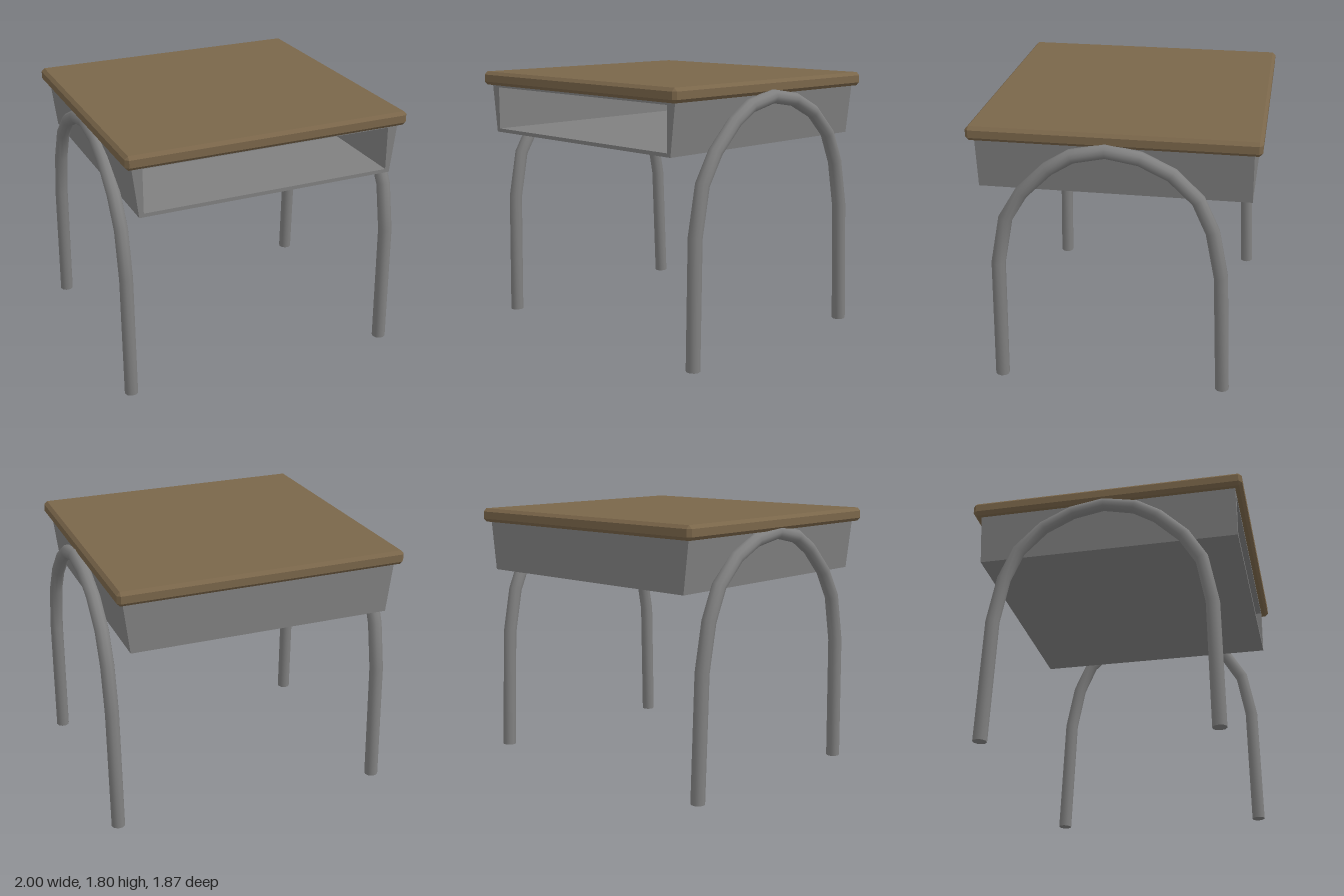
import * as THREE from 'three';
import { ConvexGeometry } from 'three/addons/geometries/ConvexGeometry.js';

const wood = new THREE.MeshStandardMaterial({ color: 0x7a664a });
wood.name = 'wood';
const steel = new THREE.MeshStandardMaterial({ color: 0x808080 });
steel.name = 'steel';

function part(name, geometry, material) {
  const mesh = new THREE.Mesh(geometry, material);
  mesh.name = name;
  return mesh;
}

// Box with every edge and corner cut by a flat chamfer
function chamferedBox(w, h, d, c) {
  const points = [];
  for (const sx of [-1, 1]) for (const sy of [-1, 1]) for (const sz of [-1, 1]) {
    for (let axis = 0; axis < 3; axis++) {
      const half = [w / 2 - c, h / 2 - c, d / 2 - c];
      half[axis] += c;
      points.push(new THREE.Vector3(sx * half[0], sy * half[1], sz * half[2]));
    }
  }
  return new ConvexGeometry(points);
}

// Round bar swept along a [z, y] path with mitred bends and closed ends
function bentBar(path, radius, sides) {
  const pts = path.map(([z, y]) => new THREE.Vector2(z, y));
  const position = [], index = [];
  const last = pts.length - 1;
  const ring = (i) => {
    const a = pts[i].clone().sub(pts[Math.max(i - 1, 0)]).normalize();
    const b = pts[Math.min(i + 1, last)].clone().sub(pts[i]).normalize();
    const t = a.add(b).normalize();
    for (let k = 0; k < sides; k++) {
      const angle = (k / sides) * Math.PI * 2;
      const s = Math.sin(angle) * radius;
      position.push(Math.cos(angle) * radius, pts[i].y + t.x * s, pts[i].x - t.y * s);
    }
  };
  for (let i = 0; i <= last; i++) ring(i);
  for (let i = 0; i < last; i++) {
    for (let k = 0; k < sides; k++) {
      const n = (k + 1) % sides;
      const a = i * sides + k, b = i * sides + n;
      const c = a + sides, d = b + sides;
      index.push(a, c, b, b, c, d);
    }
  }
  // End caps on their own vertices so the rims stay sharp
  for (const end of [0, last]) {
    const start = position.length / 3;
    ring(end);
    for (let k = 1; k < sides - 1; k++) {
      if (end === 0) index.push(start, start + k, start + k + 1);
      else index.push(start, start + k + 1, start + k);
    }
  }
  const g = new THREE.BufferGeometry();
  g.setAttribute('position', new THREE.Float32BufferAttribute(position, 3));
  g.setIndex(index);
  // Make the winding face outwards
  let volume = 0;
  const v = (i) => new THREE.Vector3().fromArray(position, index[i] * 3);
  for (let i = 0; i < index.length; i += 3) volume += v(i).dot(v(i + 1).cross(v(i + 2)));
  if (volume < 0) g.setIndex(index.slice().reverse());
  g.computeVertexNormals();
  return g;
}

// Tapered cross-section of the book tray
function traySection() {
  return new THREE.Shape([
    new THREE.Vector2(-0.91, 1.365), new THREE.Vector2(0.865, 1.365),
    new THREE.Vector2(0.906, 1.705), new THREE.Vector2(-0.951, 1.705),
  ]);
}

export function createModel() {
  const desk = new THREE.Group();
  desk.name = 'schoolDesk';

  // Desk top
  const top = part('deskTop', chamferedBox(1.95, 0.094, 1.87, 0.022), wood);
  top.position.set(-0.025, 1.749, 0);
  desk.add(top);

  // Book tray, open at the front
  const tray = new THREE.Group();
  tray.name = 'bookTray';
  const section = traySection();
  section.holes.push(new THREE.Path([
    new THREE.Vector2(-0.88, 1.39), new THREE.Vector2(-0.88, 1.685),
    new THREE.Vector2(0.835, 1.685), new THREE.Vector2(0.835, 1.39),
  ]));
  const walls = part('trayWalls',
    new THREE.ExtrudeGeometry(section, { depth: 1.74, bevelEnabled: false }), steel);
  walls.position.z = -0.855;
  const back = part('trayBack',
    new THREE.ExtrudeGeometry(traySection(), { depth: 0.03, bevelEnabled: false }), steel);
  back.position.z = -0.885;
  tray.add(walls, back);
  desk.add(tray);

  // Arched tubular legs, the right one set slightly forward
  const arch = [
    [0.772, 0], [0.757, 0.86], [0.695, 1.185], [0.58, 1.377], [0.405, 1.549],
    [0.252, 1.643], [0.036, 1.689], [-0.184, 1.653], [-0.385, 1.557],
    [-0.553, 1.395], [-0.648, 1.185], [-0.71, 0.87], [-0.745, 0.026],
  ];
  const legGeometry = bentBar(arch, 0.047, 10);
  for (const [name, x, z] of [['rightSideLegs', 0.953, 0], ['leftSideLegs', -0.953, -0.047]]) {
    const legs = part(name, legGeometry, steel);
    legs.position.set(x, 0, z);
    desk.add(legs);
  }
  return desk;
}
